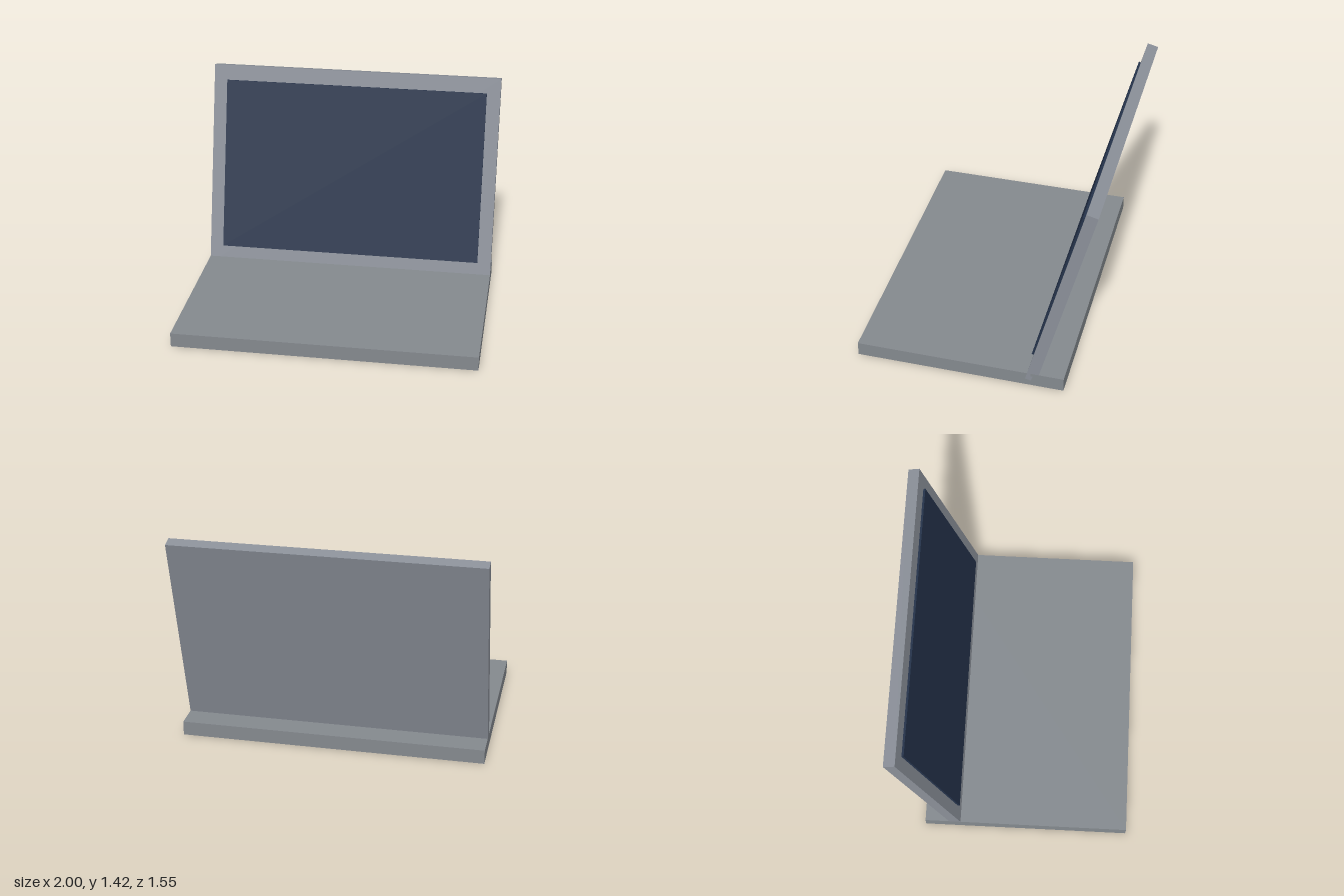
import * as THREE from 'three';

const material = (name, color) => {
  const m = new THREE.MeshStandardMaterial({ color });
  m.name = name;
  return m;
};

// Box given by its extents along each axis, mirrored across x
function box(name, mat, halfWidth, [y0, y1], [z0, z1]) {
  const geometry = new THREE.BoxGeometry(2 * halfWidth, y1 - y0, z1 - z0);
  geometry.translate(0, (y0 + y1) / 2, (z0 + z1) / 2);
  const mesh = new THREE.Mesh(geometry, mat);
  mesh.name = name;
  return mesh;
}

export function createModel() {
  const baseGrey = material('base grey', 0x84898e);
  const lidGrey = material('lid grey', 0x8a8f98);
  const screenBlue = material('screen navy', 0x24324a);

  const model = new THREE.Group();
  model.name = 'laptop';

  // Flat keyboard slab
  model.add(box('base', baseGrey, 1, [0, 0.095], [-0.6, 0.775]));

  // Lid leans back about the line where its front meets the base
  const lid = new THREE.Group();
  lid.name = 'lid';
  lid.position.set(0, 0.095, -0.36);
  lid.rotation.x = -0.254;
  lid.add(box('lidPanel', lidGrey, 1, [-0.05, 1.374], [-0.075, 0]));

  // Raised display panel on the lid's front
  lid.add(box('screen', screenBlue, 0.907, [0.084, 1.27], [-0.005, 0.014]));
  model.add(lid);

  return model;
}
